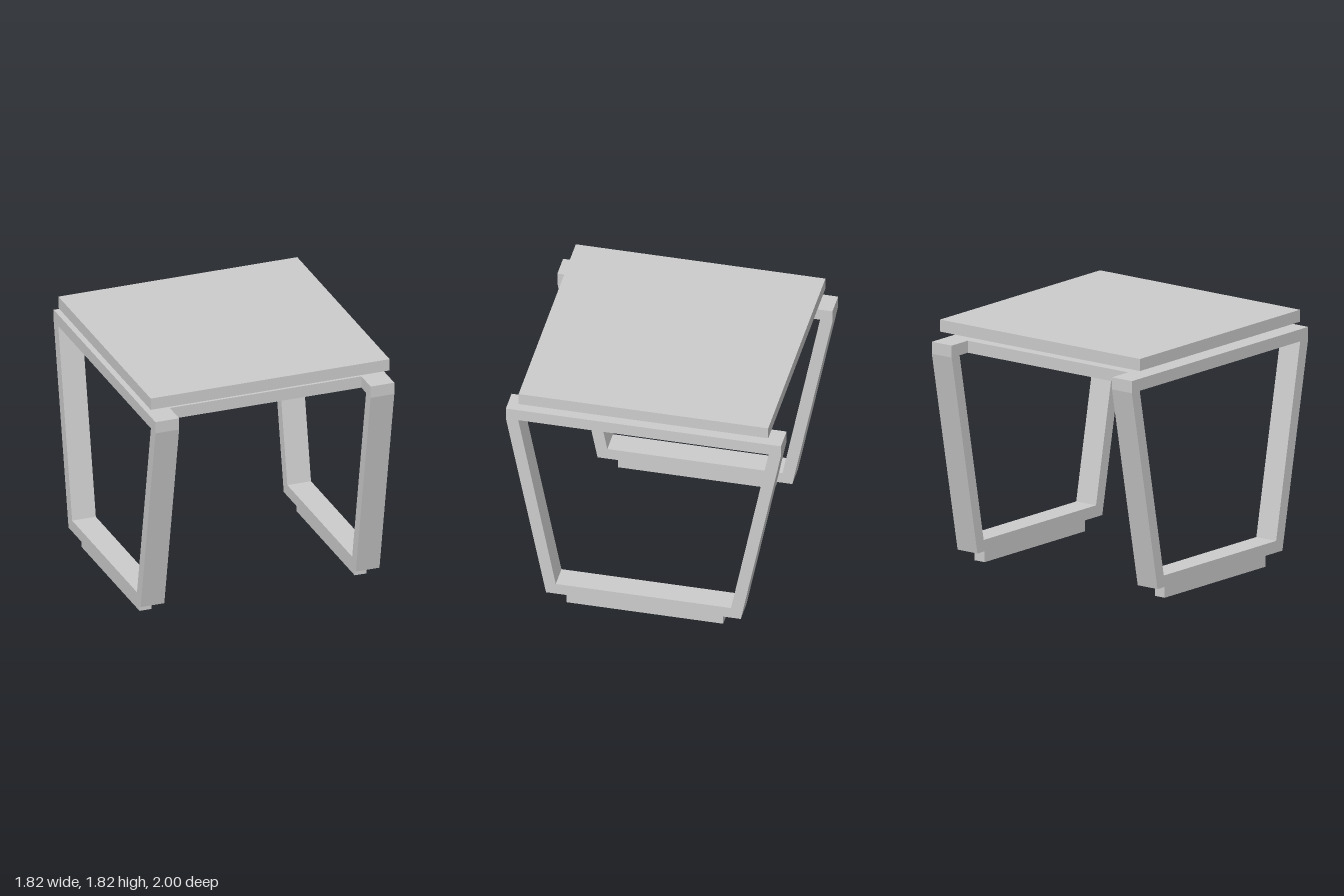
import * as THREE from 'three';

const material = new THREE.MeshStandardMaterial({ color: 0xcccccc, flatShading: true });

function box(name, w, h, d, x, y, z) {
  const mesh = new THREE.Mesh(new THREE.BoxGeometry(w, h, d), material);
  mesh.name = name;
  mesh.position.set(x, y, z);
  return mesh;
}

// Tapered closed loop, drawn in (z, y) and extruded across x
function legFrameGeometry(width) {
  const outline = (pts) => pts.map(([z, y]) => new THREE.Vector2(z, y));
  const shape = new THREE.Shape(outline([
    [-0.708, 0.098], [0.708, 0.098], [1, 1.588], [1, 1.676], [-1, 1.676], [-1, 1.588],
  ]));
  shape.holes.push(new THREE.Path(outline([
    [-0.637, 0.183], [-0.91, 1.588], [0.91, 1.588], [0.637, 0.183],
  ])));
  const geometry = new THREE.ExtrudeGeometry(shape, { depth: width, bevelEnabled: false });
  geometry.translate(0, 0, -width / 2);
  geometry.rotateY(-Math.PI / 2);
  return geometry;
}

export function createModel() {
  const model = new THREE.Group();
  model.name = 'sideTable';

  // Floating top and the panel that joins the two frames below it
  model.add(box('tableTop', 1.815, 0.088, 1.815, 0, 1.776, 0));
  model.add(box('underPanel', 1.455, 0.088, 1.635, 0, 1.632, 0));

  // Side frames, each standing on a narrow runner
  const frameGeometry = legFrameGeometry(0.18);
  for (const [side, sign] of [['left', 1], ['right', -1]]) {
    const frame = new THREE.Mesh(frameGeometry, material);
    frame.name = side + 'LegFrame';
    frame.position.x = sign * 0.8175;
    model.add(frame);
    model.add(box(side + 'FootRunner', 0.09, 0.098, 1.14, sign * 0.8175, 0.049, 0));
  }
  return model;
}
